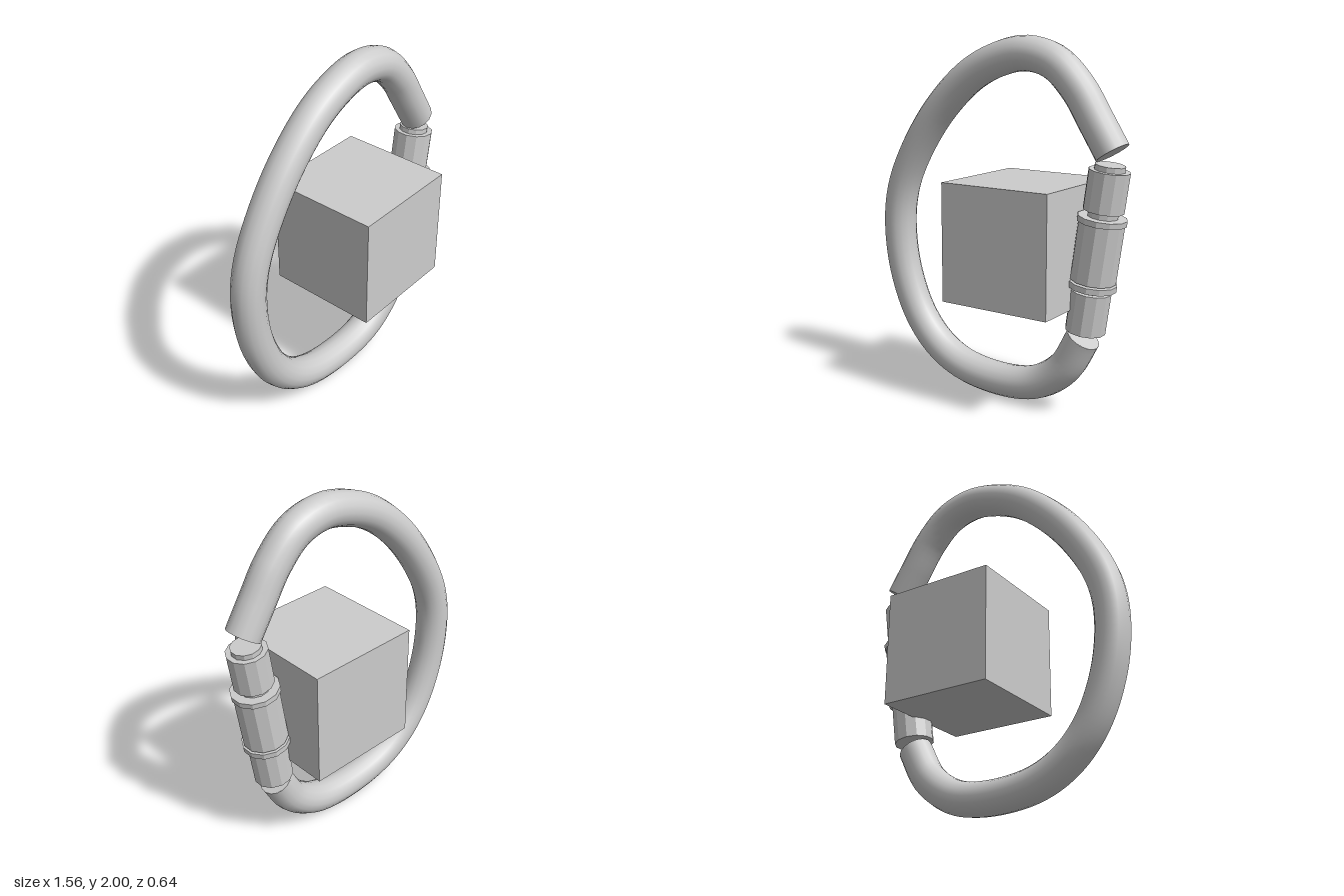
import * as THREE from 'three';

export function createModel() {
  const group = new THREE.Group();
  const metal = new THREE.MeshStandardMaterial({ color: 0xcccccc });
  metal.name = 'light grey';
  const facetedMetal = metal.clone();
  facetedMetal.flatShading = true;

  const add = (parent, geometry, material, name) => {
    const mesh = new THREE.Mesh(geometry, material);
    mesh.name = name;
    parent.add(mesh);
    return mesh;
  };

  // Open ring body, swept from the upper opening round to the lower one
  const path = new THREE.CatmullRomCurve3([
    [0.69, 1.425], [0.595, 1.575], [0.49, 1.735], [0.35, 1.864], [0.18, 1.907],
    [0.01, 1.875], [-0.18, 1.782], [-0.40, 1.58], [-0.58, 1.32], [-0.665, 1.12],
    [-0.692, 0.92], [-0.66, 0.65], [-0.555, 0.39], [-0.41, 0.225], [-0.22, 0.128],
    [0.08, 0.098], [0.28, 0.14], [0.44, 0.258], [0.545, 0.44],
  ].map(([x, y]) => new THREE.Vector3(x, y, 0)));
  const radius = 0.093;
  add(group, new THREE.TubeGeometry(path, 100, radius, 16), metal, 'ringBody');

  // Flat ends of the ring
  for (const [t, sign, name] of [[0, -1, 'upperEnd'], [1, 1, 'lowerEnd']]) {
    const cap = add(group, new THREE.CircleGeometry(radius, 16), metal, name);
    cap.position.copy(path.getPointAt(t));
    const outward = path.getTangentAt(t).multiplyScalar(sign);
    cap.quaternion.setFromUnitVectors(new THREE.Vector3(0, 0, 1), outward);
  }

  // Tilted gate: cylinders stacked along its own axis
  const gate = new THREE.Group();
  gate.name = 'gate';
  gate.position.set(0.555, 0.482, 0);
  gate.rotation.z = -Math.atan2(0.125, 0.883);
  group.add(gate);
  for (const [name, from, to, r] of [
    ['gateRod', 0.01, 0.892, 0.08],
    ['lowerSleeve', 0, 0.222, 0.108],
    ['lowerCollar', 0.24, 0.272, 0.13],
    ['middleSleeve', 0.28, 0.59, 0.122],
    ['upperCollar', 0.592, 0.622, 0.13],
    ['upperSleeve', 0.655, 0.864, 0.108],
  ]) {
    const part = new THREE.CylinderGeometry(r, r, to - from, 12, 1, false, Math.PI / 12);
    add(gate, part, facetedMetal, name).position.y = (from + to) / 2;
  }

  // Cube inside the ring
  add(group, new THREE.BoxGeometry(0.645, 0.645, 0.645), metal, 'cube').position.set(0.186, 0.923, 0);

  return group;
}
